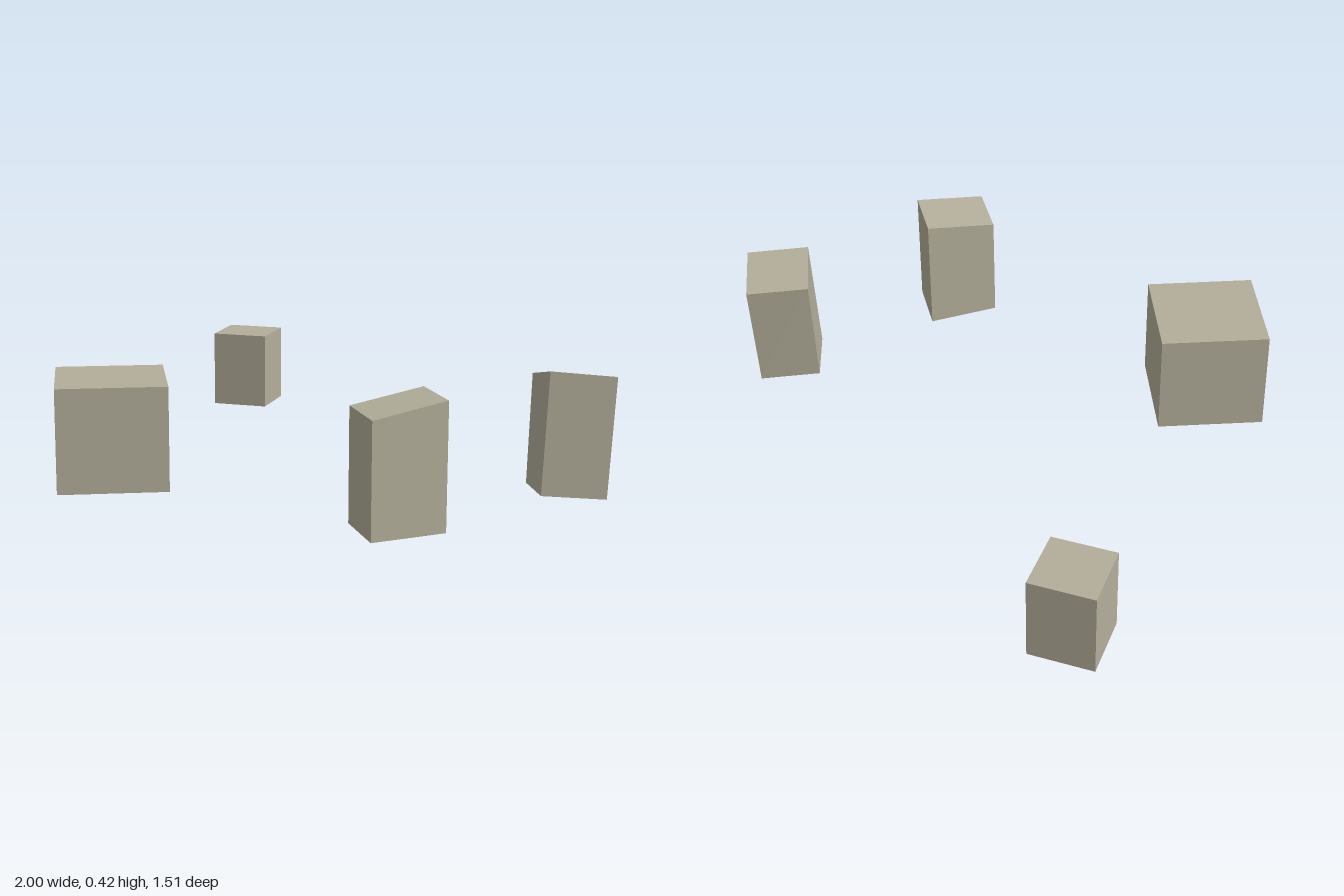
import * as THREE from 'three';

const stone = new THREE.MeshStandardMaterial({ color: 0xb3ae9a });
stone.name = 'paleStone';

// Closed six-sided block from four base and four top corners, clockwise seen from above.
function block(name, base, top) {
  const faces = [[base[0], base[1], base[2], base[3]], [top[3], top[2], top[1], top[0]]];
  for (let i = 0; i < 4; i++) {
    const j = (i + 1) % 4;
    faces.push([base[j], base[i], top[i], top[j]]);
  }
  const positions = faces.flatMap(([a, b, c, d]) => [a, b, c, a, c, d].flat());
  const geometry = new THREE.BufferGeometry();
  geometry.setAttribute('position', new THREE.Float32BufferAttribute(positions, 3));
  geometry.computeVertexNormals();
  const mesh = new THREE.Mesh(geometry, stone);
  mesh.name = name;
  return mesh;
}

// Upright block: plan corners [x, z] and a top height for each corner.
function uprightBlock(name, plan, heights) {
  return block(
    name,
    plan.map(([x, z]) => [x, 0.013, z]),
    plan.map(([x, z], i) => [x, heights[i], z])
  );
}

export function createModel() {
  const group = new THREE.Group();
  group.name = 'standingBlocks';

  group.add(
    // Low block at the back
    uprightBlock('smallBlock',
      [[-1, -0.65], [-0.82, -0.757], [-0.715, -0.58], [-0.892, -0.474]],
      [0.29, 0.29, 0.29, 0.29]),
    // Wide block at the front
    uprightBlock('largeBlock',
      [[-0.48, 0.546], [-0.275, 0.256], [0.018, 0.46], [-0.187, 0.752]],
      [0.355, 0.355, 0.355, 0.355]),
    // Tall block with a sloping top
    uprightBlock('slopedBlock',
      [[0.72, 0.041], [0.907, 0.131], [0.832, 0.366], [0.644, 0.275]],
      [0.41, 0.41, 0.373, 0.373]),
    // Tall block leaning backwards
    block('leaningBlock',
      [[0.83, 0, -0.625], [0.992, 0.012, -0.512], [0.865, 0.028, -0.345], [0.705, 0.018, -0.462]],
      [[0.836, 0.358, -0.642], [1, 0.403, -0.531], [0.869, 0.423, -0.365], [0.705, 0.378, -0.477]])
  );
  return group;
}
